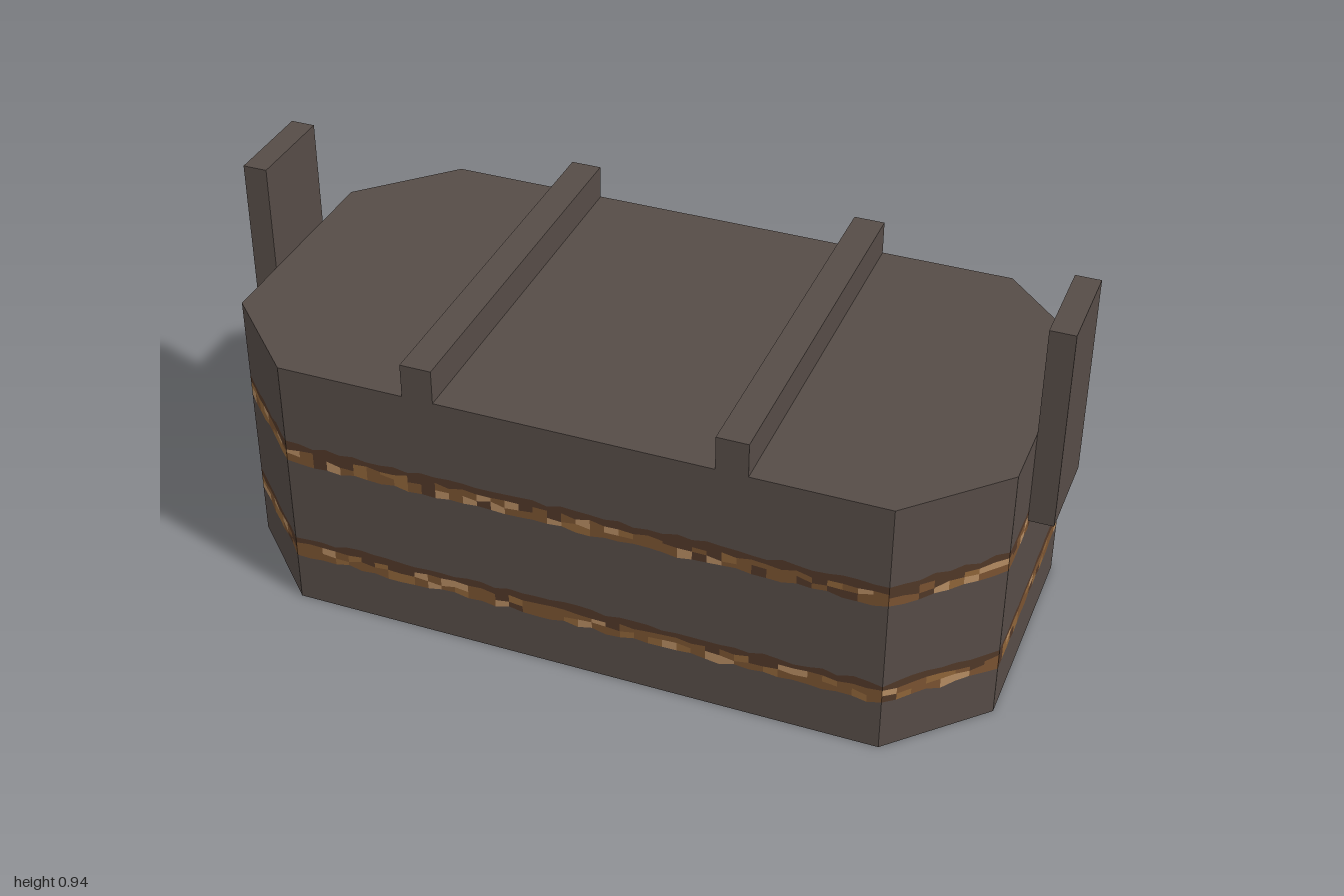
import * as THREE from 'three';

const material = (name, color) =>
  new THREE.MeshStandardMaterial({ name, color, side: THREE.DoubleSide });

// Small seeded generator for the ragged ornament
function seeded(seed) {
  return () => {
    seed = (seed * 1664525 + 1013904223) % 4294967296;
    return seed / 4294967296;
  };
}

export function createModel() {
  const group = new THREE.Group();
  const mats = {
    stone: material('dark stone', 0x564c47),
    shade: material('dark brown', 0x513828),
    brown: material('brown', 0x7a5331),
    copper: material('copper', 0x8f6539),
    tan: material('tan', 0xb58c62),
  };
  const H = 0.67;
  const random = seeded(11);

  // Chamfered outline, counter-clockwise seen from above, starting at the front
  const outline = [
    [-0.73, 0.49], [0.73, 0.49], [0.94, 0.28], [0.94, -0.28],
    [0.73, -0.49], [-0.73, -0.49], [-0.94, -0.28], [-0.94, 0.28],
  ];

  // Points along the walls, close enough together for the ragged bands
  const points = [];
  outline.forEach(([x, z], i) => {
    const [x2, z2] = outline[(i + 1) % outline.length];
    const n = Math.round(Math.hypot(x2 - x, z2 - z) / 0.035);
    for (let k = 0; k < n; k++) points.push([x + (x2 - x) * k / n, z + (z2 - z) * k / n]);
  });

  // Each column is cut into rows: stone, ornament, stone, ornament, stone
  const bands = [0.13, 0.408];
  const columns = points.map(() => {
    const ys = [0];
    for (const y of bands) {
      for (const [offset, jitter] of [[0, 0.012], [0.02, 0.012], [0.036, 0.01], [0.055, 0.012]]) {
        ys.push(y + offset + (random() - 0.5) * jitter);
      }
    }
    return [...ys, H];
  });
  const pickOrnament = (lower) => {
    const r = random();
    if (r < 0.16) return 'tan';
    if (r < 0.36) return 'copper';
    if (r < (lower ? 0.82 : 0.78)) return 'brown';
    return 'shade';
  };

  const buckets = { stone: [], shade: [], brown: [], copper: [], tan: [] };
  points.forEach(([x, z], i) => {
    const j = (i + 1) % points.length;
    const [x2, z2] = points[j];
    for (let row = 0; row < columns[i].length - 1; row++) {
      const part = row % 4;
      const key = part === 0 ? 'stone' : part === 3 ? 'shade' : pickOrnament(part === 1);
      const a = [x, columns[i][row], z];
      const b = [x2, columns[j][row], z2];
      const c = [x2, columns[j][row + 1], z2];
      const d = [x, columns[i][row + 1], z];
      buckets[key].push(...a, ...b, ...c, ...a, ...c, ...d);
    }
  });

  // Walls and the two ornamental bands, open at the bottom
  const wallNames = {
    stone: 'walls', shade: 'bandUpperEdge', brown: 'bandBase',
    copper: 'bandPatches', tan: 'bandHighlights',
  };
  for (const key in buckets) {
    const geometry = new THREE.BufferGeometry();
    geometry.setAttribute('position', new THREE.Float32BufferAttribute(buckets[key], 3));
    geometry.computeVertexNormals();
    const mesh = new THREE.Mesh(geometry, mats[key]);
    mesh.name = wallNames[key];
    group.add(mesh);
  }

  // Flat top
  const shape = new THREE.Shape(outline.map(([x, z]) => new THREE.Vector2(x, -z)));
  const top = new THREE.Mesh(new THREE.ShapeGeometry(shape).rotateX(-Math.PI / 2), mats.stone);
  top.position.y = H;
  top.name = 'top';
  group.add(top);

  const addBox = (name, size, position) => {
    const mesh = new THREE.Mesh(new THREE.BoxGeometry(...size), mats.stone);
    mesh.position.set(...position);
    mesh.name = name;
    group.add(mesh);
  };

  // Two bars across the top
  addBox('rightBar', [0.076, 0.085, 0.98], [-0.378, 0.7125, 0]);
  addBox('leftBar', [0.076, 0.085, 0.98], [0.367, 0.7125, 0]);

  // Upright plates at both ends
  addBox('leftEndPlate', [0.06, 0.51, 0.238], [0.97, 0.685, -0.007]);
  addBox('rightEndPlate', [0.06, 0.51, 0.238], [-0.97, 0.685, -0.007]);

  return group;
}
